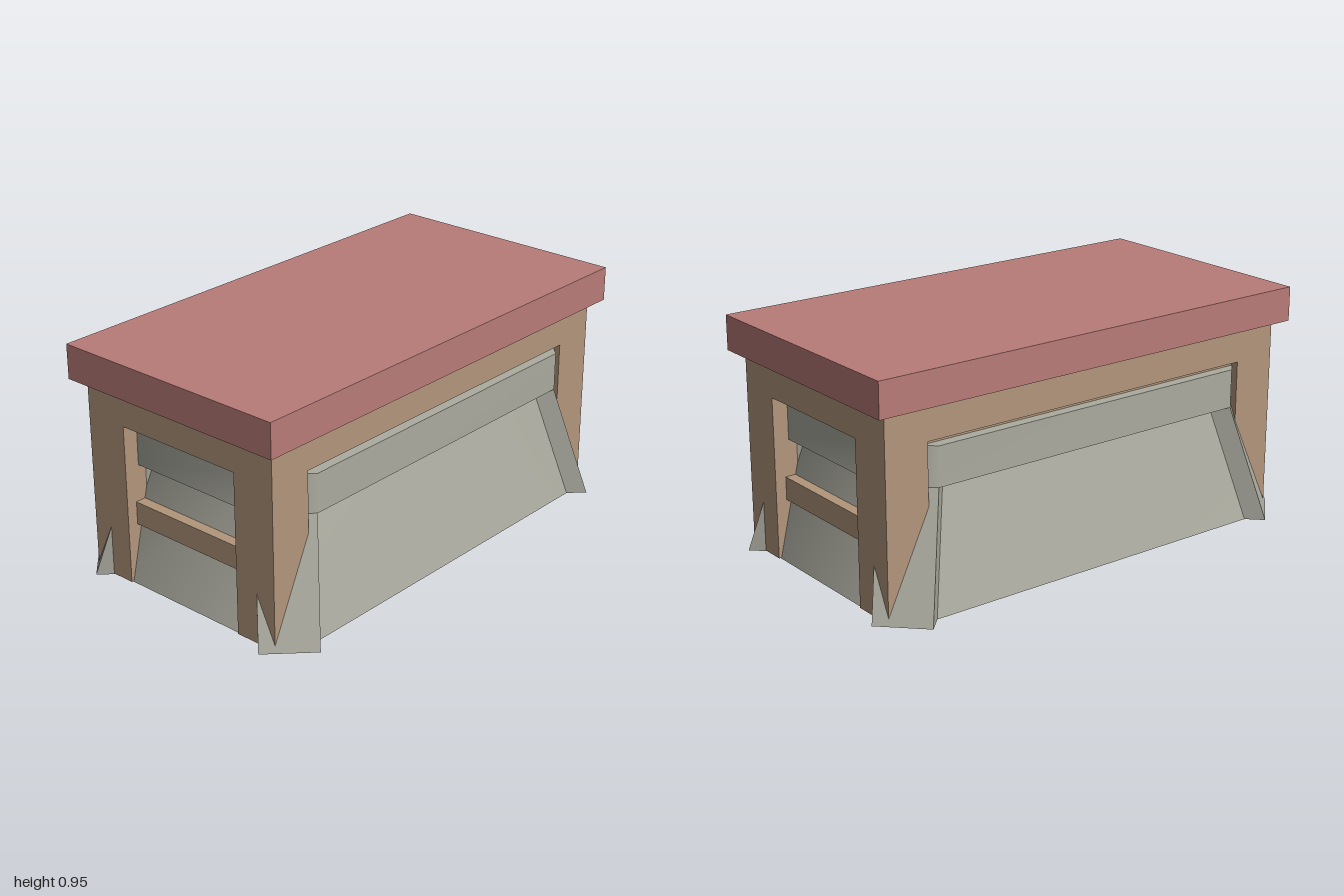
import * as THREE from 'three';

const wood = new THREE.MeshStandardMaterial({ color: 0xb3967c });
wood.name = 'wood';
const stone = new THREE.MeshStandardMaterial({ color: 0xababa0 });
stone.name = 'stone';
const roofRed = new THREE.MeshStandardMaterial({ color: 0xb97c79 });
roofRed.name = 'roofRed';

// Closed prism between two matching [x, z] outlines, counter-clockwise from above
function loft(bottom, top, y0, y1, smooth) {
  const n = bottom.length, pos = [], idx = [];
  const ring = (pts, y) => pts.forEach(([x, z]) => pos.push(x, y, z));
  ring(bottom, y0); ring(top, y1); // side rings
  ring(bottom, y0); ring(top, y1); // cap rings
  for (let i = 0; i < n; i++) {
    const j = (i + 1) % n;
    idx.push(i, j, n + j, i, n + j, n + i);
    if (i > 0 && i < n - 1) {
      idx.push(2 * n, 2 * n + i + 1, 2 * n + i, 3 * n, 3 * n + i, 3 * n + i + 1);
    }
  }
  let g = new THREE.BufferGeometry();
  g.setAttribute('position', new THREE.Float32BufferAttribute(pos, 3));
  g.setIndex(idx);
  if (!smooth) g = g.toNonIndexed();
  g.computeVertexNormals();
  return g;
}

// Rectangle with cut corners: cut runs from (ax, az) at the front to (bx, bz) at the side
const octagon = (ax, az, bx, bz) => [
  [ax, az], [bx, bz], [bx, -bz], [ax, -az], [-ax, -az], [-bx, -bz], [-bx, bz], [-ax, az],
];

export function createModel() {
  const model = new THREE.Group();
  const add = (name, geometry, material) => {
    const mesh = new THREE.Mesh(geometry, material);
    mesh.name = name;
    model.add(mesh);
  };
  const box = (name, material, x0, x1, y0, y1, z0, z1) => add(name,
    new THREE.BoxGeometry(x1 - x0, y1 - y0, z1 - z0)
      .translate((x0 + x1) / 2, (y0 + y1) / 2, (z0 + z1) / 2), material);

  // Roof slab and the wooden frame below it
  box('roof', roofRed, -1, 1, 0.81, 0.952, -0.522, 0.522);
  box('lintelFrame', wood, -0.95, 0.95, 0.667, 0.81, -0.475, 0.475);
  box('innerWall', wood, -0.84, 0.84, 0.64, 0.67, -0.44, 0.44);

  // Sloping stone base and the straight band on top of it
  const lean = 0.115, ridge = 0.485;
  add('stoneBase', loft(octagon(0.78, 0.538, 0.94, 0.38),
    octagon(0.78 - lean, 0.538 - lean, 0.94 - lean, 0.38 - lean), 0, ridge, true), stone);
  const band = octagon(0.725, 0.485, 0.885, 0.325);
  add('stoneBand', loft(band, band, ridge, 0.645, true), stone);

  for (const sx of [-1, 1]) {
    // Rail across each end opening
    box('endRail', wood, sx * 0.87 - 0.035, sx * 0.87 + 0.035, 0.24, 0.335, -0.29, 0.29);

    for (const sz of [-1, 1]) {
      // Corner post
      box('cornerPost', wood, sx * 0.8575 - 0.0925, sx * 0.8575 + 0.0925, 0.003, 0.68,
        sz * 0.381 - 0.094, sz * 0.381 + 0.094);

      // Leaning diagonal buttress around the post
      const foot = [[0.84, 0.598], [1, 0.438], [0.94, 0.378], [0.78, 0.538]];
      const place = (d) => {
        const pts = foot.map(([x, z]) => [sx * (x - d), sz * (z - d)]);
        return sx * sz < 0 ? pts.reverse() : pts;
      };
      add('buttress', loft(place(0), place(lean), 0, ridge, false), stone);
    }
  }
  return model;
}
